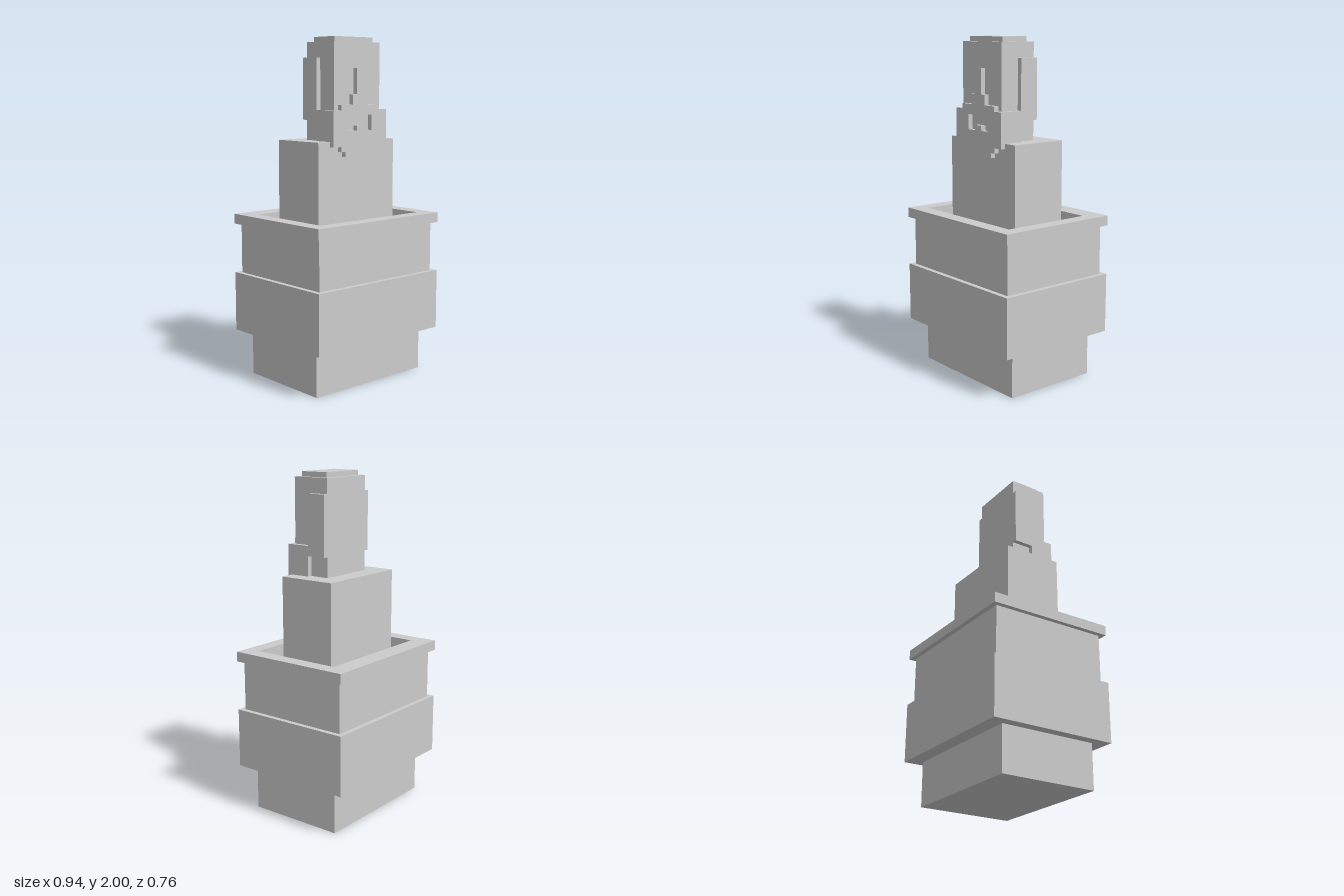
import * as THREE from 'three';

// Everything is laid out on a grid of whole blocks, 34 to a unit
const BLOCK = 1 / 34;
const material = new THREE.MeshStandardMaterial({ color: 0xcccccc, flatShading: true });

const points = (list) => list.map(([x, y]) => new THREE.Vector2(x, y));
const rect = (x0, x1, y0, y1) => points([[x0, y0], [x1, y0], [x1, y1], [x0, y1]]);

export function createModel() {
  const model = new THREE.Group();
  model.name = 'figureInPot';

  const add = (name, geometry) => {
    const mesh = new THREE.Mesh(geometry, material);
    mesh.name = name;
    model.add(mesh);
    return mesh;
  };

  const box = (name, [x0, x1], [y0, y1], [z0, z1]) =>
    add(name, new THREE.BoxGeometry(x1 - x0, y1 - y0, z1 - z0))
      .position.set((x0 + x1) / 2, (y0 + y1) / 2, (z0 + z1) / 2);

  const slab = (outline, hole, depth) => {
    const shape = new THREE.Shape(outline);
    if (hole) shape.holes.push(new THREE.Path(hole));
    return new THREE.ExtrudeGeometry(shape, { depth, bevelEnabled: false });
  };

  // Pot: solid foot and belly, hollow neck and rim
  box('potFoot', [-14, 14], [0, 9], [-10, 10]);
  box('potBelly', [-16, 16], [9, 21], [-13, 13]);
  const ring = (name, w, d, y0, y1) =>
    add(name, slab(rect(-w, w, -d, d), rect(-13, 13, -10, 9), y1 - y0)
      .rotateX(-Math.PI / 2).translate(0, y0, 0));
  ring('potNeck', 15, 12, 21, 31);
  ring('potRim', 16, 13, 31, 33);

  // Body, with the arms down inside the pot
  box('torso', [-10, 10], [21, 48], [-6, 6]);
  box('leftArm', [10, 13], [21, 29], [-2, 2]);
  box('rightArm', [-13, -10], [21, 29], [-2, 2]);

  // Head
  box('head', [-6, 6], [48, 67], [-2, 6]);
  box('headTop', [-5, 5], [67, 68], [-1, 5]);

  // Face relief: nose and stepped beard, mirrored, with a mouth opening
  const half = [[4, 45], [4, 46], [5, 46], [5, 47], [7, 47], [7, 54], [5, 54],
    [5, 55], [2, 55], [2, 57], [1, 57], [1, 62]];
  const face = points([...half, ...half.map(([x, y]) => [-x, y]).reverse()]);
  const mouth = points([[-3, 50], [-1, 50], [-1, 51], [1, 51], [1, 50], [3, 50], [3, 53], [-3, 53]]);
  add('noseAndBeard', slab(face, mouth, 1).translate(0, 0, 6));

  // Side hair running down into the beard, drawn in (z, y)
  const hair = points([[2, 48], [6, 48], [6, 54], [2, 54], [2, 64], [-2, 64], [-2, 52], [2, 52]]);
  for (const [name, x] of [['leftSideHair', 7], ['rightSideHair', -6]]) {
    add(name, slab(hair, null, 1).rotateY(-Math.PI / 2).translate(x, 0, 0));
  }

  model.scale.setScalar(BLOCK);
  return model;
}
